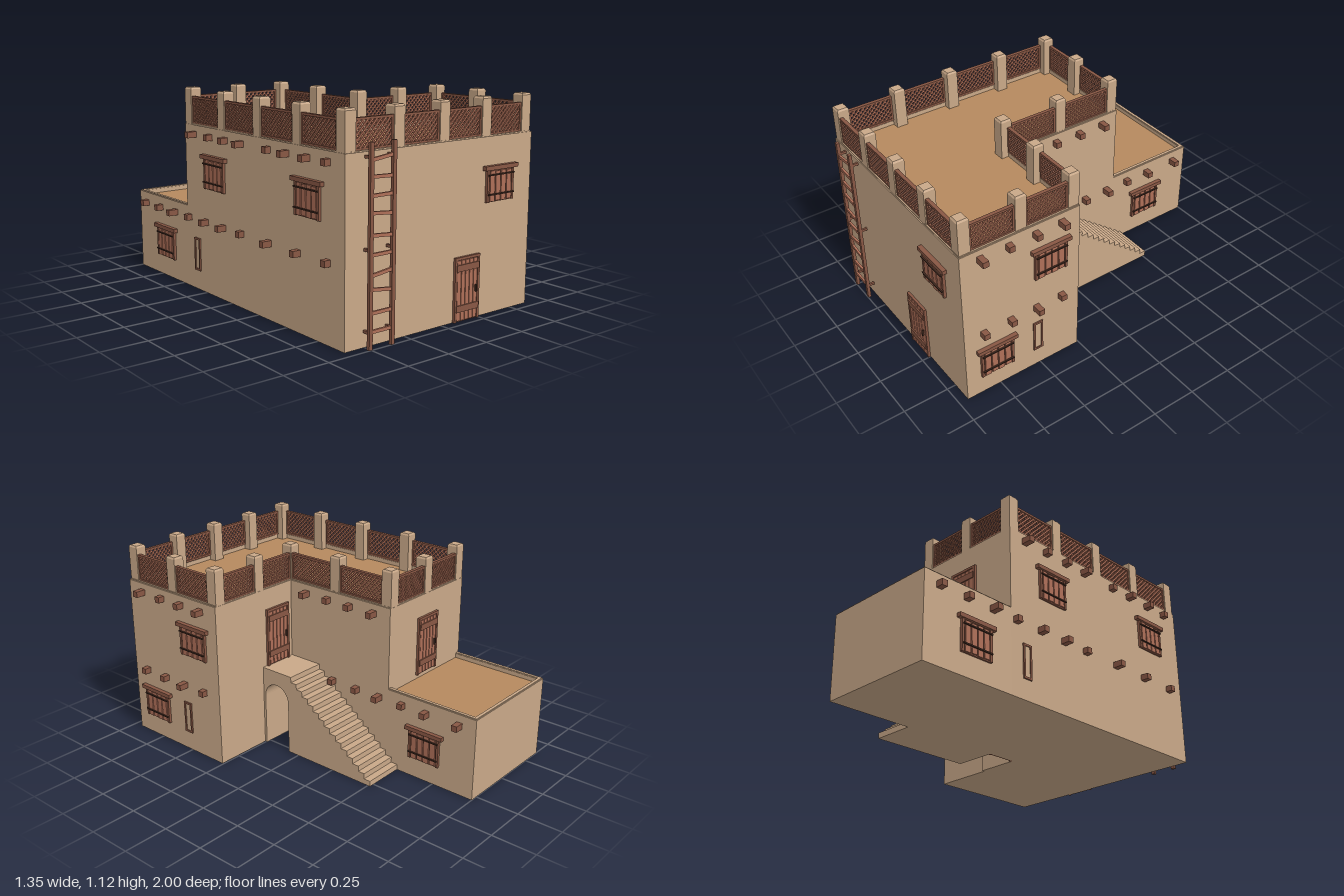
import * as THREE from 'three';
import { mergeGeometries } from 'three/addons/utils/BufferGeometryUtils.js';

const mat = (color) => new THREE.MeshStandardMaterial({ color, flatShading: true });
const clay = mat(0xc9a888), earth = mat(0xb5895e), wood = mat(0xae6f58), darkWood = mat(0x885744), iron = mat(0x40291f);

const box = (w, h, d, x = 0, y = 0, z = 0, tilt = 0) =>
  new THREE.BoxGeometry(w, h, d).rotateZ(tilt).translate(x, y, z);

function add(parent, name, geometries, material) {
  const list = [].concat(geometries);
  const mesh = new THREE.Mesh(list.length > 1 ? mergeGeometries(list) : list[0], material);
  mesh.name = name;
  parent.add(mesh);
  return mesh;
}

function place(group, name, x, y, z, turn) {
  group.name = name;
  group.position.set(x, y, z);
  group.rotation.y = turn;
  return group;
}

// Upright prism over an [x, z] outline, with an optional hole
function prism(outline, y0, y1, hole) {
  const points = (o) => o.map(([x, z]) => new THREE.Vector2(x, -z));
  const shape = new THREE.Shape(points(outline));
  if (hole) shape.holes.push(new THREE.Path(points(hole)));
  return new THREE.ExtrudeGeometry(shape, { depth: y1 - y0, bevelEnabled: false })
    .rotateX(-Math.PI / 2).translate(0, y0, 0);
}

// Outlines of the two blocks, shrunk by t
const tallOutline = (t) => [[-0.62 + t, 0.95 - t], [0.62 - t, 0.95 - t], [0.62 - t, 0.257 + t],
  [0.043 - t, 0.257 + t], [0.043 - t, -0.443 + t], [-0.62 + t, -0.443 + t]];
const lowOutline = (t) => [[-0.62 + t, -0.443], [0.043 - t, -0.443], [0.043 - t, -1 + t], [-0.62 + t, -1 + t]];

function block(name, outline, top) {
  const g = new THREE.Group();
  g.name = name;
  const floor = top - 0.03;
  add(g, 'walls', prism(outline(0), 0, floor - 0.005), clay);
  add(g, 'roofFloor', prism(outline(0.02), floor - 0.005, floor), earth);
  add(g, 'roofRim', prism(outline(0), floor - 0.005, top - 0.006, outline(0.025)), clay);
  add(g, 'rimCap', prism(outline(0.005), top - 0.006, top, outline(0.022)), clay);
  return g;
}

// Solid staircase with a landing and an arched passage below it
function stairs() {
  const s = new THREE.Shape(), n = 15, top = 0.468;
  s.moveTo(-0.257, 0);
  s.lineTo(-0.243, 0);
  s.lineTo(-0.243, 0.3);
  s.absarc(-0.157, 0.3, 0.086, Math.PI, 0, true);
  s.lineTo(-0.071, 0);
  s.lineTo(0.515, 0);
  for (let i = 0; i < n; i++) {
    const u = 0.515 - i * 0.0402, y = (i + 1) * top / n;
    s.lineTo(u, y);
    s.lineTo(u - 0.0402, y);
  }
  s.lineTo(-0.257, top);
  const geo = new THREE.ExtrudeGeometry(s, { depth: 0.237, bevelEnabled: false, curveSegments: 16 });
  return geo.rotateY(Math.PI / 2).translate(0.043, 0, 0);
}

// Lattice panel standing on y = 0, centred on x = 0
function lattice(w) {
  const g = new THREE.Group(), h = 0.15, slats = [], step = 0.0265;
  add(g, 'latticeFrame', [box(w, 0.012, 0.02, 0, 0.006), box(w, 0.012, 0.02, 0, h - 0.006),
    box(0.012, h, 0.02, -w / 2 + 0.006, h / 2), box(0.012, h, 0.02, w / 2 - 0.006, h / 2)], darkWood);
  for (const side of [-1, 1]) {
    for (let c = -w / 2 - h + step / 2; c < w / 2; c += step) {
      // each slat follows x = c + y, clipped to the frame
      const y0 = Math.max(0.004, -w / 2 + 0.004 - c), y1 = Math.min(h - 0.004, w / 2 - 0.004 - c);
      if (y1 - y0 < 0.01) continue;
      const ym = (y0 + y1) / 2;
      slats.push(box((y1 - y0) * Math.SQRT2 - 0.006, 0.009, 0.006, side * (c + ym), ym, side * 0.003, side * Math.PI / 4));
    }
  }
  add(g, 'latticeSlats', slats, wood);
  return g;
}

// Shuttered window, sill at y = 0
function shutterWindow() {
  const g = new THREE.Group(), planks = [];
  add(g, 'windowFrame', [box(0.19, 0.17, 0.01, 0, 0.085, 0.004), box(0.014, 0.17, 0.018, -0.09, 0.085, 0.006),
    box(0.014, 0.17, 0.018, 0.09, 0.085, 0.006), box(0.235, 0.022, 0.032, 0, 0.176, 0.008)], darkWood);
  for (let i = 0; i < 4; i++)
    planks.push(box(0.033, 0.157 - 0.006 * (i % 2), 0.012, -0.06 + i * 0.04, 0.082, 0.01, 0.02 * (i % 2)));
  add(g, 'shutterPlanks', planks, wood);
  add(g, 'ironBars', [0.04, 0.14].map((y) => box(0.185, 0.007, 0.008, 0, y, 0.02)), iron);
  return g;
}

// Plank door, threshold at y = 0
function plankDoor() {
  const g = new THREE.Group(), planks = [];
  add(g, 'doorFrame', [box(0.174, 0.335, 0.008, 0, 0.1675, 0.002), box(0.014, 0.335, 0.018, -0.08, 0.1675, 0.005),
    box(0.014, 0.335, 0.018, 0.08, 0.1675, 0.005), box(0.174, 0.014, 0.018, 0, 0.328, 0.005)], darkWood);
  for (let i = 0; i < 5; i++) planks.push(box(0.024, 0.312, 0.01, -0.057 + i * 0.0285, 0.162, 0.007));
  add(g, 'doorPlanks', planks, wood);
  add(g, 'doorBraces', [0.07, 0.28].map((y) => box(0.156, 0.034, 0.01, 0, y, 0.014)), darkWood);
  add(g, 'doorHandle', box(0.007, 0.036, 0.012, 0.058, 0.16, 0.017), iron);
  return g;
}

// Narrow framed slit, bottom at y = 0
function slit() {
  const g = new THREE.Group();
  add(g, 'slitFrame', [box(0.057, 0.011, 0.016, 0, 0.0055), box(0.057, 0.011, 0.016, 0, 0.1795),
    box(0.011, 0.185, 0.016, -0.023, 0.0925), box(0.011, 0.185, 0.016, 0.023, 0.0925)], darkWood);
  add(g, 'slitPane', box(0.04, 0.17, 0.006, 0, 0.0925), clay);
  return g;
}

function ladder() {
  const g = new THREE.Group();
  add(g, 'rails', [-0.068, 0.068].map((x) => box(0.021, 0.97, 0.018, x, 0.485, 0)), darkWood);
  const rungs = [[0.085, 0], [0.175, 0], [0.28, -0.13], [0.36, 0.12], [0.45, 0], [0.537, -0.08],
    [0.64, -0.09], [0.725, 0], [0.81, -0.04], [0.897, 0.12]];
  add(g, 'rungs', rungs.map(([y, tilt]) => box(0.135, 0.017, 0.012, 0, y, 0, tilt)), wood);
  add(g, 'wallTies', [0.08, 0.47, 0.9].flatMap((y) =>
    [-0.068, 0.068].map((x) => box(0.012, 0.014, 0.04, x, y, -0.022))), darkWood);
  return g;
}

export function createModel() {
  const house = new THREE.Group();
  house.name = 'clayHouse';
  house.add(block('tallBlock', tallOutline, 0.928), block('lowBlock', lowOutline, 0.468));
  add(house, 'staircase', stairs(), clay);

  // Roof posts in a loop, with a lattice panel from each to the next
  const posts = [[-0.585, 0.912], [-0.292, 0.912], [0, 0.912], [0.29, 0.912], [0.58, 0.912], [0.58, 0.6],
    [0.58, 0.29], [0.29, 0.29], [0.005, 0.29], [0.005, -0.06], [0.005, -0.41], [-0.292, -0.41],
    [-0.585, -0.41], [-0.585, -0.08], [-0.585, 0.25], [-0.585, 0.58]];
  posts.forEach(([x, z], i) => {
    const [nx, nz] = posts[(i + 1) % posts.length];
    const cap = new THREE.CylinderGeometry(0.026 * Math.SQRT2, 0.032 * Math.SQRT2, 0.01, 4);
    cap.rotateY(Math.PI / 4).translate(x, 1.117, z);
    add(house, 'roofPost', [box(0.064, 0.217, 0.064, x, 1.0035, z), cap], clay);
    const len = Math.hypot(nx - x, nz - z), dx = (nx - x) / len, dz = (nz - z) / len;
    house.add(place(lattice(len - 0.062), 'latticePanel',
      (x + nx) / 2 - dz * 0.016, 0.926, (z + nz) / 2 + dx * 0.016, Math.atan2(-dz, dx)));
  });

  // Windows, doors and slits: x, y, z and turn
  const R = Math.PI / 2;
  for (const p of [[0.382, 0.588, 0.95, 0], [0.62, 0.588, 0.437, R], [0.62, 0.115, 0.768, R], [0.043, 0.115, -0.69, R],
    [-0.62, 0.588, 0.68, -R], [-0.62, 0.588, -0.14, -R], [-0.62, 0.115, -0.68, -R]])
    house.add(place(shutterWindow(), 'shutterWindow', ...p));
  for (const p of [[0.162, 0, 0.95, 0], [0.043, 0, 0.157, R], [0.162, 0.468, 0.257, 2 * R], [-0.29, 0.462, -0.443, 2 * R]])
    house.add(place(plankDoor(), 'plankDoor', ...p));
  for (const p of [[0.62, 0.11, 0.515, R], [-0.62, 0.11, -0.335, -R]])
    house.add(place(slit(), 'slitWindow', ...p));

  // Beam ends poking out of the side walls: wall x, y, z positions
  const rows = [[0.62, 0.872, [0.84, 0.68, 0.525, 0.37]], [0.62, 0.402, [0.84, 0.68, 0.525, 0.37]],
    [0.043, 0.872, [0.135, -0.02, -0.175, -0.335]], [0.043, 0.402, [-0.06, -0.23, -0.385, -0.54, -0.695, -0.9]],
    [-0.62, 0.872, [-0.34, -0.18, -0.03, 0.12, 0.36, 0.51, 0.675, 0.83]],
    [-0.62, 0.402, [-0.91, -0.74, -0.57, -0.41, -0.235, -0.06, 0.11, 0.36, 0.6, 0.83]]];
  for (const [x, y, zs] of rows) {
    add(house, 'beamEnds', zs.map((z, i) => {
      const len = 0.045 + 0.012 * Math.sin(i * 2.3 + y * 9);
      return box(len + 0.02, 0.033, 0.033, x + Math.sign(x) * (len / 2 - 0.01), y, z);
    }), darkWood);
  }

  house.add(place(ladder(), 'ladder', -0.435, 0, 0.991, 0));
  return house;
}
